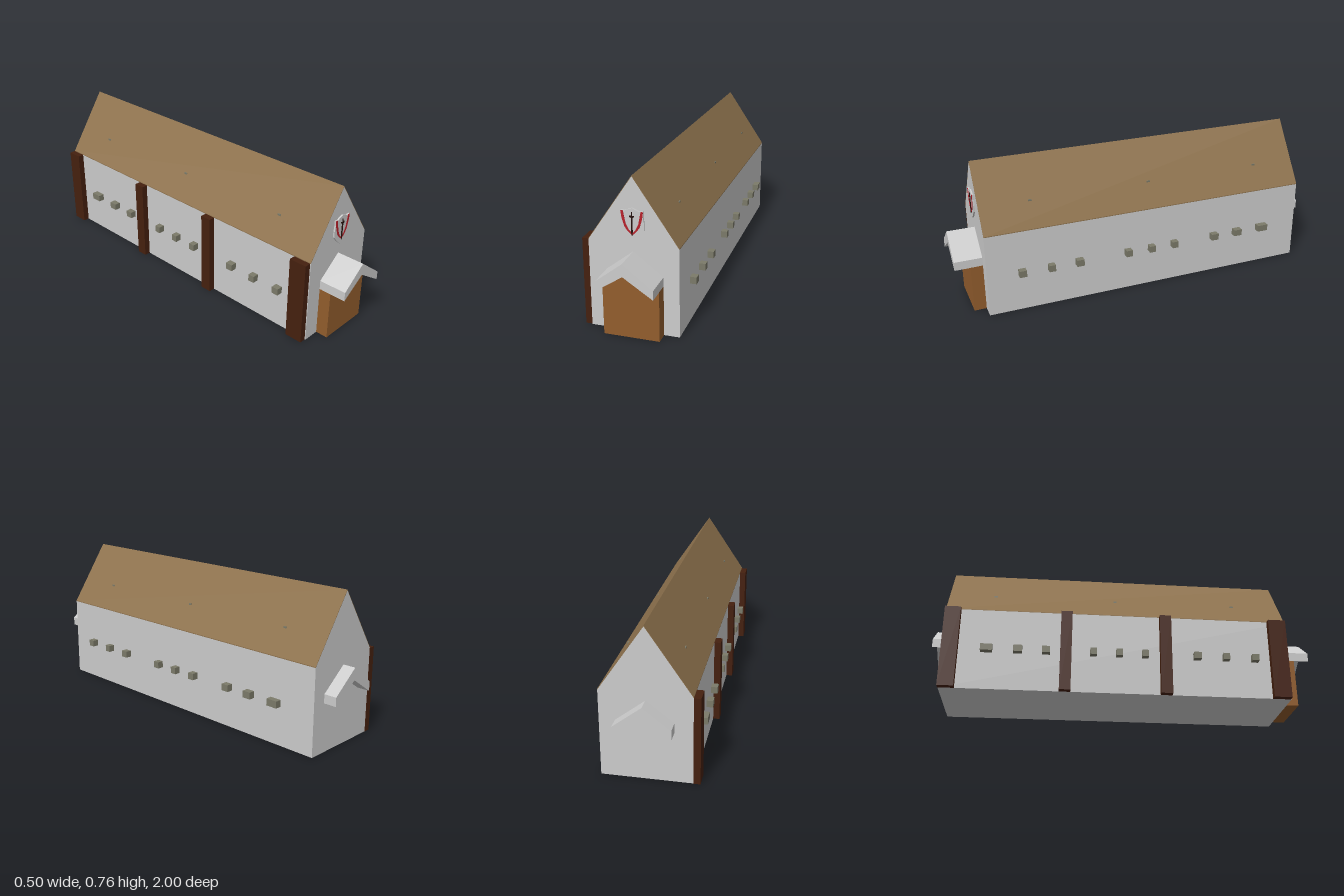
import * as THREE from 'three';

const mat = (name, color, side = THREE.FrontSide) => {
  const m = new THREE.MeshStandardMaterial({ color, side });
  m.name = name;
  return m;
};

export function createModel() {
  const model = new THREE.Group();
  model.name = 'longHall';
  const plaster = mat('pale grey plaster', 0xcccccc);
  const thatch = mat('brown roof', 0x8f734e);
  const doorWood = mat('door wood', 0x925d2d);
  const darkWood = mat('dark timber', 0x45200f);
  const stone = mat('grey stone', 0x7b7a69);
  const red = mat('red', 0xb8202a);
  const black = mat('sword dark', 0x24110c);

  const add = (name, geometry, material, x = 0, y = 0, z = 0) => {
    const mesh = new THREE.Mesh(geometry, material);
    mesh.name = name;
    mesh.position.set(x, y, z);
    model.add(mesh);
    return mesh;
  };
  // flat outline in x/y pushed from z0 to z1
  const prism = (name, points, z0, z1, material) => {
    const shape = new THREE.Shape(points.map(([x, y]) => new THREE.Vector2(x, y)));
    const geometry = new THREE.ExtrudeGeometry(shape, { depth: z1 - z0, bevelEnabled: false });
    return add(name, geometry, material, 0, 0, z0);
  };
  // box given by its limits
  const block = (name, [x0, x1], [y0, y1], [z0, z1], material) =>
    add(name, new THREE.BoxGeometry(x1 - x0, y1 - y0, z1 - z0), material,
      (x0 + x1) / 2, (y0 + y1) / 2, (z0 + z1) / 2);

  const W = 0.217, EAVE = 0.438, RIDGE = 0.758, FRONT = 0.857, BACK = -0.935;

  // walls with gables
  prism('walls', [[-W, 0], [W, 0], [W, EAVE], [0, RIDGE], [-W, EAVE]], BACK, FRONT, plaster);

  // thin roof sheets
  for (const s of [-1, 1]) {
    const sheet = [[0, RIDGE], [s * W, EAVE], [s * W, EAVE + 0.004], [0, RIDGE + 0.004]];
    prism(s > 0 ? 'roofLeft' : 'roofRight', sheet, BACK, FRONT, thatch);
  }

  // beams whose ends just show through the roof
  for (const z of [0.595, -0.05, -0.69])
    block('roofBeam', [-0.138, 0.138], [0.55, 0.567], [z - 0.009, z + 0.009], stone);

  // door porch and the canopies at both ends
  prism('door', [[-0.13, 0], [0.141, 0], [0.141, 0.25], [0, 0.343], [-0.13, 0.257]],
    FRONT, 0.92, doorWood);
  const canopy = [[-0.13, 0.256], [0, 0.342], [0.141, 0.249],
    [0.141, 0.294], [0, 0.404], [-0.13, 0.303]];
  prism('frontCanopy', canopy, FRONT, 1, plaster);
  prism('backCanopy', canopy, -1, BACK, plaster);

  // stone blocks along both long walls
  const blocks = [[0.66, 0.697], [0.508, 0.542], [0.354, 0.393], [0.084, 0.118], [-0.05, -0.016],
    [-0.184, -0.15], [-0.43, -0.39], [-0.576, -0.531], [-0.742, -0.682]];
  for (const z of blocks) {
    block('stoneBlockLeft', [W, 0.25], [0.199, 0.234], z, stone);
    block('stoneBlockRight', [-0.25, -W], [0.199, 0.234], z, stone);
  }

  // posts on the right wall
  for (const z of [[0.76, 0.853], [0.178, 0.238], [-0.338, -0.28], [-0.937, -0.855]])
    block('post', [-0.25, -W], [0, EAVE], z, darkWood);

  // shield on the front gable
  const half = [[0.022, 0.605], [0.037, 0.599], [0.053, 0.602], [0.052, 0.575],
    [0.057, 0.545], [0.055, 0.511], [0.03, 0.481]];
  const mirror = (pts) => pts.map(([x, y]) => [-x, y]).reverse();
  prism('shield', [[0, 0.456], ...half.slice().reverse(), [0, 0.614], ...mirror(half).reverse()],
    FRONT, FRONT + 0.008, plaster);

  // red bands and sword on the shield
  const z0 = FRONT + 0.008, z1 = z0 + 0.002;
  const band = [[0.042, 0.6], [0.053, 0.6], [0.048, 0.565], [0.036, 0.525],
    [0.022, 0.505], [0.003, 0.487], [0.003, 0.498], [0.016, 0.511], [0.03, 0.54]];
  prism('redBandLeft', band, z0, z1, red);
  prism('redBandRight', mirror(band), z0, z1, red);
  prism('sword', [[0, 0.482], [0.003, 0.49], [0.003, 0.568], [0.011, 0.573], [0.011, 0.579],
    [0.002, 0.577], [0.002, 0.595], [-0.002, 0.595], [-0.002, 0.577], [-0.011, 0.579],
    [-0.011, 0.573], [-0.003, 0.568], [-0.003, 0.49]], z0, z1 + 0.002, black);

  return model;
}
